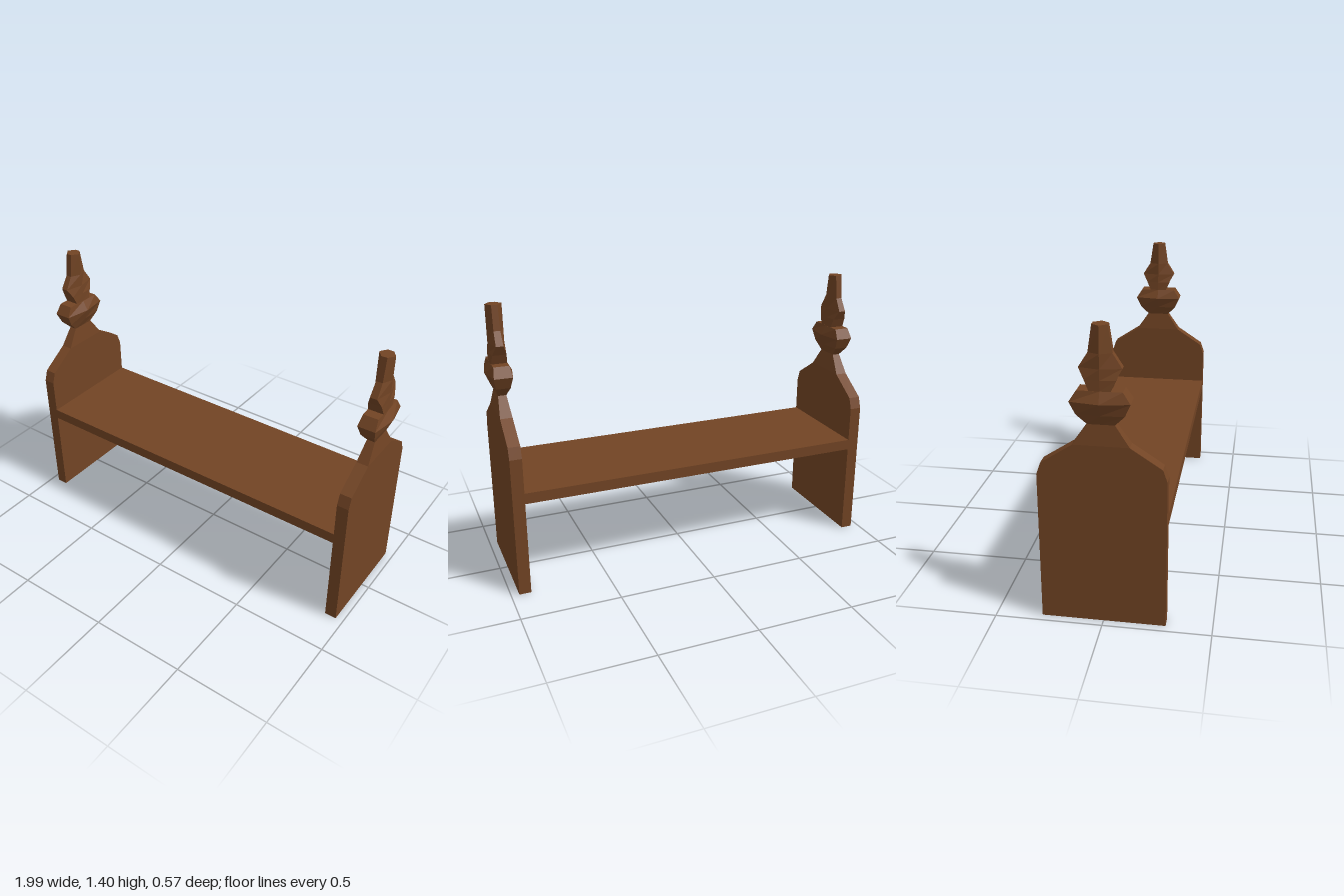
import * as THREE from 'three';

// Each section is [y, ridge half width x, corner half width x, half depth z]
const PANEL = [
  [0, 0.03, 0.03, 0.287],
  [0.72, 0.03, 0.03, 0.287],
  [0.777, 0.03, 0.03, 0.267],
  [0.87, 0.03, 0.03, 0.125],
  [0.965, 0.02, 0.02, 0.06],
];
const FINIAL = [
  [0.965, 0.02, 0.02, 0.06],
  [1.012, 0.043, 0.035, 0.105],
  [1.07, 0.067, 0.045, 0.131],
  [1.12, 0.04, 0.038, 0.098],
  [1.12, 0.04, 0.038, 0.047],
  [1.167, 0.04, 0.034, 0.067],
  [1.215, 0.04, 0.018, 0.093],
  [1.28, 0.04, 0.016, 0.052],
  [1.4, 0.04, 0.015, 0.034],
];

// Joins six-sided cross-sections into a closed, faceted solid
function loft(sections) {
  const positions = [], index = [], n = 6;
  for (const [y, ridge, corner, z] of sections) {
    positions.push(ridge, y, 0, corner, y, z, -corner, y, z,
      -ridge, y, 0, -corner, y, -z, corner, y, -z);
  }
  for (let s = 0; s < sections.length - 1; s++) {
    for (let i = 0; i < n; i++) {
      const a = s * n + i, b = s * n + (i + 1) % n;
      index.push(a, a + n, b, b, a + n, b + n);
    }
  }
  const top = (sections.length - 1) * n;
  for (let i = 1; i < n - 1; i++) {
    index.push(0, i, i + 1, top, top + i + 1, top + i);
  }
  const indexed = new THREE.BufferGeometry();
  indexed.setAttribute('position', new THREE.Float32BufferAttribute(positions, 3));
  indexed.setIndex(index);
  const geometry = indexed.toNonIndexed();
  geometry.computeVertexNormals();
  return geometry;
}

export function createModel() {
  const model = new THREE.Group();
  model.name = 'bench';
  const wood = new THREE.MeshStandardMaterial({ color: 0x724424 });
  wood.name = 'brown wood';

  const add = (name, geometry, parent) => {
    const mesh = new THREE.Mesh(geometry, wood);
    mesh.name = name;
    parent.add(mesh);
    return mesh;
  };

  // Seat board between the two ends
  add('seat', new THREE.BoxGeometry(1.8, 0.055, 0.574), model).position.y = 0.5125;

  // Matching end panels, each topped by a carved finial
  const panel = loft(PANEL), finial = loft(FINIAL);
  for (const [side, x] of [['left', 0.93], ['right', -0.93]]) {
    const end = new THREE.Group();
    end.name = side + 'End';
    end.position.x = x;
    add(side + 'Panel', panel, end);
    add(side + 'Finial', finial, end);
    model.add(end);
  }
  return model;
}
